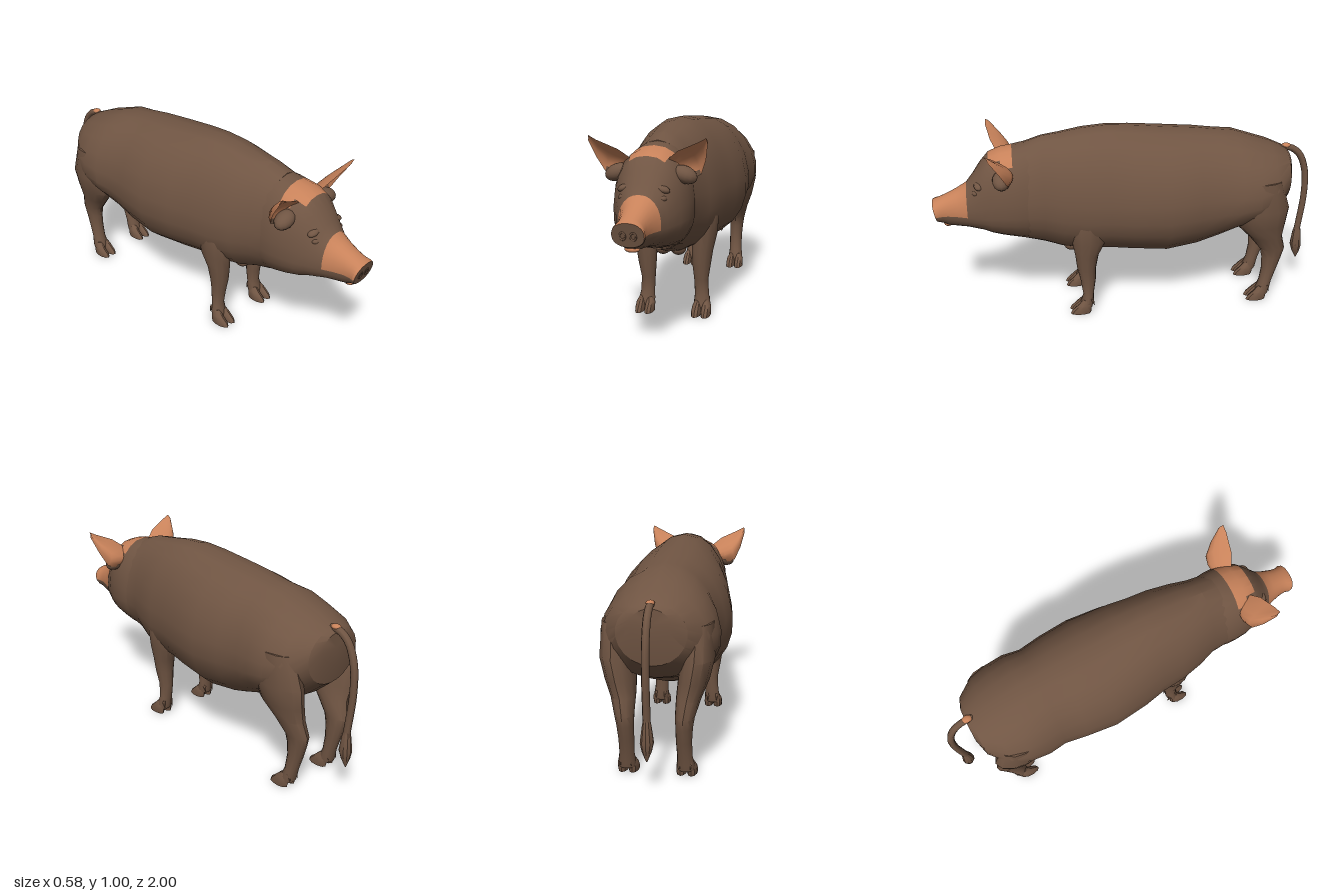
import * as THREE from 'three';
import { toCreasedNormals } from 'three/addons/utils/BufferGeometryUtils.js';

const hide = new THREE.MeshStandardMaterial({ color: 0x705543 });
hide.name = 'brown hide';
const pink = new THREE.MeshStandardMaterial({ color: 0xc8825a });
pink.name = 'pink skin';

// Skin a list of rings, closed at both ends; isPink picks faces by their centre
function loft(rings, isPink = () => false, crease = 0.5) {
  const n = rings[0].length, pts = rings.flat(), sets = [[], []];
  const add = (...ids) => {
    const c = new THREE.Vector3();
    ids.forEach(i => c.addScaledVector(pts[i], 1 / ids.length));
    const set = sets[isPink(c) ? 1 : 0];
    for (let k = 2; k < ids.length; k++) set.push(ids[0], ids[k - 1], ids[k]);
  };
  for (let i = 0; i < rings.length - 1; i++) {
    for (let j = 0; j < n; j++) {
      const a = i * n + j, b = i * n + (j + 1) % n;
      add(a, a + n, b + n, b);
    }
  }
  for (const end of [0, rings.length - 1]) {
    const c = new THREE.Vector3();
    rings[end].forEach(p => c.addScaledVector(p, 1 / n));
    const id = pts.push(c) - 1;
    for (let j = 0; j < n; j++) {
      const a = end * n + j, b = end * n + (j + 1) % n;
      if (end) add(id, b, a); else add(id, a, b);
    }
  }
  const g = new THREE.BufferGeometry().setFromPoints(pts);
  g.setIndex([...sets[0], ...sets[1]]);
  const flat = toCreasedNormals(g, crease);
  flat.clearGroups();
  flat.addGroup(0, sets[0].length, 0);
  flat.addGroup(sets[0].length, sets[1].length, 1);
  return flat;
}

const power = (v, e) => Math.sign(v) * Math.abs(v) ** e;

// Upright ring facing z: top, bottom, half width, height of the widest point
function bodyRing([z, top, bottom, w, mid, e = 1, slant = 0], n = 22) {
  return Array.from({ length: n }, (_, j) => {
    const a = j / n * Math.PI * 2, c = power(Math.cos(a), e);
    const y = mid + c * (c > 0 ? top - mid : mid - bottom);
    return new THREE.Vector3(w * power(Math.sin(a), e), y, z + slant * (y - mid));
  });
}

// Level ring: height, centre x and z, radii
function legRing([y, x, z, rx, rz], side, n = 12) {
  return Array.from({ length: n }, (_, j) => {
    const a = j / n * Math.PI * 2;
    return new THREE.Vector3(side * x + rx * Math.sin(a), y, z + rz * Math.cos(a));
  });
}

export function createModel() {
  const model = new THREE.Group();
  const put = (name, geo, mat, parent = model) => {
    const m = new THREE.Mesh(geo, mat);
    m.name = name;
    parent.add(m);
    return m;
  };
  const blob = (name, mat, pos, size, tilt = 0) => {
    const m = put(name, new THREE.SphereGeometry(1, 14, 10), mat);
    m.position.set(...pos);
    m.scale.set(...size);
    m.rotation.z = tilt;
  };

  // Trunk, rump to neck
  const trunk = [
    [-0.87, 0.81, 0.66, 0.09, 0.74], [-0.85, 0.83, 0.55, 0.16, 0.7],
    [-0.76, 0.87, 0.47, 0.245, 0.64], [-0.67, 0.9, 0.44, 0.272, 0.62],
    [-0.57, 0.935, 0.41, 0.278, 0.61], [-0.48, 0.945, 0.365, 0.262, 0.6],
    [-0.36, 0.96, 0.325, 0.28, 0.6], [-0.2, 0.973, 0.3, 0.295, 0.59],
    [-0.02, 0.99, 0.315, 0.275, 0.59], [0.1, 0.997, 0.325, 0.25, 0.59],
    [0.22, 0.988, 0.33, 0.24, 0.59], [0.34, 0.967, 0.345, 0.215, 0.6],
    [0.43, 0.955, 0.375, 0.185, 0.61], [0.52, 0.925, 0.4, 0.18, 0.61],
  ];
  put('trunk', loft(trunk.map(r => bodyRing(r))), [hide, pink]);

  // Head with pink brow strip and muzzle patch
  const head = [
    [0.45, 0.93, 0.4, 0.17, 0.61], [0.53, 0.92, 0.41, 0.182, 0.61, 0.92],
    [0.58, 0.908, 0.425, 0.183, 0.61, 0.88], [0.64, 0.898, 0.44, 0.178, 0.61, 0.85],
    [0.70, 0.875, 0.455, 0.16, 0.6, 0.85], [0.745, 0.825, 0.47, 0.138, 0.59, 0.9],
    [0.785, 0.765, 0.478, 0.12, 0.585, 0.9], [0.82, 0.72, 0.485, 0.1, 0.58, 0.9],
    [0.87, 0.69, 0.49, 0.082, 0.58, 0.9], [0.92, 0.665, 0.497, 0.07, 0.58, 0.9],
    [0.955, 0.647, 0.512, 0.068, 0.575, 0.9, 0.1],
    [0.975, 0.638, 0.518, 0.075, 0.575, 0.9, 0.2], [0.986, 0.632, 0.522, 0.073, 0.575, 0.9, 0.22],
  ];
  const headPaint = p => (p.z > 0.57 && p.z < 0.7 && p.y > 0.85)
    || (p.z > 0.82 && p.z < 0.984 + 0.21 * (p.y - 0.575) && p.y > 0.57);
  put('head', loft(head.map(r => bodyRing(r, 26)), headPaint), [hide, pink]);
  blob('lowerLip', pink, [0, 0.503, 0.925], [0.035, 0.014, 0.025]);

  // Tail with tuft
  const path = new THREE.CatmullRomCurve3([
    [-0.82, 0.82], [-0.875, 0.825], [-0.935, 0.785], [-0.975, 0.69], [-0.985, 0.55], [-0.965, 0.33],
  ].map(([z, y]) => new THREE.Vector3(0, y, z)));
  put('tail', new THREE.TubeGeometry(path, 24, 0.018, 8), hide);
  const tuft = [[0.36, 0, -0.967, 0.014, 0.014], [0.31, 0, -0.965, 0.022, 0.024],
    [0.24, 0, -0.965, 0.031, 0.032], [0.2, 0, -0.968, 0.022, 0.022], [0.155, 0, -0.972, 0.003, 0.003]];
  put('tailTuft', loft(tuft.map(r => legRing(r, 1, 10))), [hide, pink]);
  blob('tailBaseSpot', pink, [0, 0.835, -0.86], [0.02, 0.012, 0.025]);

  // Legs: height, centre x and z, radii
  const front = [
    [0.68, 0.165, 0.2, 0.045, 0.06], [0.55, 0.17, 0.21, 0.062, 0.095],
    [0.42, 0.158, 0.21, 0.062, 0.088], [0.34, 0.147, 0.222, 0.056, 0.062],
    [0.26, 0.143, 0.225, 0.048, 0.05], [0.18, 0.14, 0.218, 0.037, 0.04],
    [0.1, 0.144, 0.218, 0.037, 0.028], [0.06, 0.147, 0.225, 0.043, 0.034], [0.03, 0.149, 0.23, 0.04, 0.032],
  ];
  const hind = [
    [0.72, 0.19, -0.68, 0.065, 0.11], [0.56, 0.185, -0.695, 0.078, 0.145],
    [0.46, 0.168, -0.705, 0.072, 0.128], [0.38, 0.15, -0.74, 0.058, 0.088],
    [0.3, 0.138, -0.783, 0.045, 0.067], [0.25, 0.135, -0.783, 0.04, 0.055],
    [0.18, 0.133, -0.775, 0.037, 0.042], [0.1, 0.135, -0.757, 0.036, 0.034],
    [0.06, 0.137, -0.745, 0.042, 0.038], [0.03, 0.138, -0.74, 0.04, 0.035],
  ];

  // Ear: upper and lower edge points from root to tip
  const ear = [
    [[0.09, 0.86, 0.665], [0.13, 0.765, 0.62]], [[0.14, 0.9, 0.69], [0.185, 0.765, 0.605]],
    [[0.19, 0.922, 0.7], [0.228, 0.785, 0.61]], [[0.235, 0.942, 0.71], [0.258, 0.855, 0.645]],
    [[0.272, 0.962, 0.71], [0.277, 0.935, 0.695]],
  ];
  const earRing = ([up, lo], i, side) => {
    const U = new THREE.Vector3(...up), L = new THREE.Vector3(...lo), ring = [], n = 6;
    const depth = [0.02, 0.035, 0.035, 0.022, 0.004][i], thick = [0.03, 0.024, 0.018, 0.012, 0.006][i];
    for (let k = 0; k < 2 * n; k++) {
      const t = k < n ? k / n : 2 - k / n, bow = Math.sin(t * Math.PI);
      const p = L.clone().lerp(U, t);
      p.z -= depth * bow + (k > n ? thick * bow + 0.004 : 0);
      p.x *= side;
      ring.push(p);
    }
    return side > 0 ? ring : ring.reverse();
  };

  for (const side of [1, -1]) {
    const label = side > 0 ? 'left' : 'right';
    for (const [kind, rows, toeX, toeZ] of [['Front', front, 0.149, 0.2], ['Hind', hind, 0.138, -0.765]]) {
      const leg = new THREE.Group();
      leg.name = label + kind + 'Leg';
      model.add(leg);
      put('limb', loft(rows.map(r => legRing(r, side)), undefined, 0.7), [hide, pink], leg);
      for (const d of [-1, 1]) {
        // Cloven toes and dewclaws
        const x = toeX + d * 0.025;
        const toe = [[0.075, x - d * 0.005, toeZ + 0.03, 0.014, 0.018], [0.045, x, toeZ + 0.043, 0.023, 0.036],
          [0.018, x, toeZ + 0.058, 0.025, 0.052], [0, x, toeZ + 0.064, 0.024, 0.054]];
        put('toe', loft(toe.map(r => legRing(r, side, 10)), undefined, 0.6), [hide, pink], leg);
        const claw = put('dewclaw', new THREE.ConeGeometry(0.011, 0.045, 7), hide, leg);
        claw.position.set(side * x, 0.06, toeZ - 0.004);
        claw.rotation.x = Math.PI + 0.35;
      }
    }
    put(label + 'Ear', loft(ear.map((r, i) => earRing(r, i, side)), p => p.y > 0.8 || p.z < 0.6, 0.9), [hide, pink]);
    blob(label + 'EarRoot', hide, [side * 0.158, 0.787, 0.638], [0.062, 0.04, 0.045], side * -0.35);
    blob(label + 'Eye', hide, [side * 0.088, 0.698, 0.768], [0.024, 0.017, 0.022]);
    blob(label + 'Brow', hide, [side * 0.085, 0.738, 0.752], [0.038, 0.018, 0.026], side * -0.3);
    blob(label + 'Brisket', hide, [side * 0.04, 0.355, 0.295], [0.04, 0.035, 0.04]);
    const nostril = put(label + 'Nostril', new THREE.TorusGeometry(0.013, 0.004, 6, 14), hide);
    nostril.position.set(side * 0.024, 0.573, 0.985);
    nostril.rotation.x = 0.2;
    nostril.scale.y = 1.3;
  }
  return model;
}
